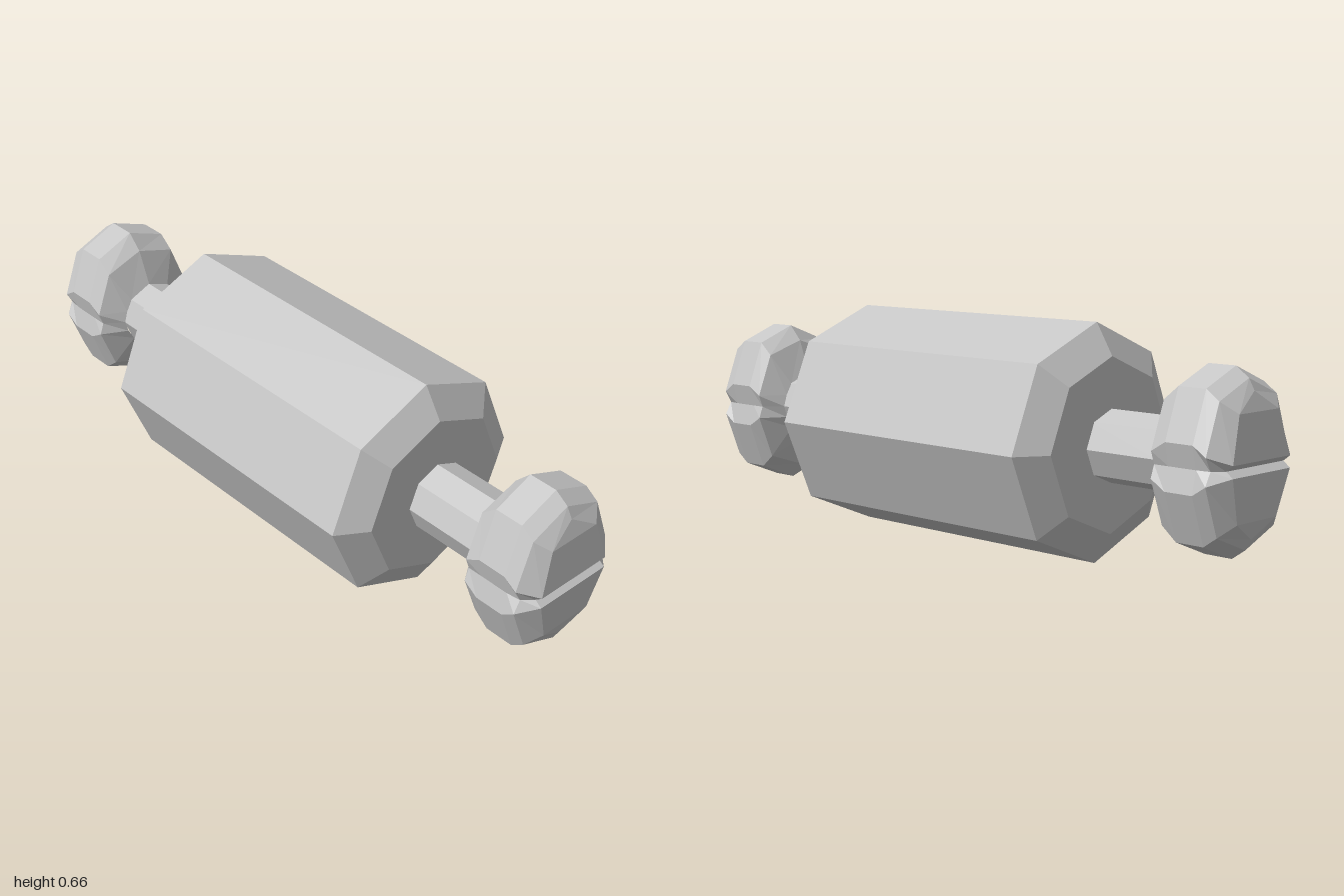
import * as THREE from 'three';

const AXIS_Y = 0.328;

// Pinched double-lobed head: [z, top, xa, ya, xb, yb, pinchX, optional z of corner a, corner b, pinch]
const HEAD_RINGS = [
  [0.745, 0.10, 0.07, 0.07, 0.09, 0.035, 0.10],
  [0.785, 0.20, 0.12, 0.16, 0.168, 0.035, 0.155],
  [0.83, 0.245, 0.12, 0.197, 0.17, 0.062, 0.155],
  [0.915, 0.245, 0.12, 0.197, 0.17, 0.062, 0.155],
  [0.955, 0.217, 0.12, 0.169, 0.17, 0.036, 0.15],
  [0.972, 0.187, 0.082, 0.137, 0.12, 0.016, 0.12, 0.988, 1.0, 0.98],
];

function headGeometry() {
  const pos = [];
  const index = [];
  const n = 12;
  // each quarter outline is mirrored into a closed loop, clockwise from the top
  for (const [z, top, xa, ya, xb, yb, xp, za = z, zb = z, zp = z] of HEAD_RINGS) {
    const right = [[xa, ya, za], [xb, yb, zb], [xp, 0, zp], [xb, -yb, zb], [xa, -ya, za]];
    const left = right.map(([x, y, d]) => [-x, y, d]).reverse();
    for (const p of [[0, top, z], ...right, [0, -top, z], ...left]) pos.push(...p);
  }
  for (let i = 0; i < HEAD_RINGS.length - 1; i++) {
    for (let k = 0; k < n; k++) {
      const a = i * n + k, b = a + n;
      const c = i * n + (k + 1) % n, d = c + n;
      index.push(a, b, c, b, d, c);
    }
  }
  // end face in horizontal strips, with the slot across the middle
  const e = (HEAD_RINGS.length - 1) * n;
  index.push(e, e + 11, e + 1, e + 5, e + 7, e + 6);
  for (let r = 1; r < 5; r++) {
    const l = n - r;
    index.push(e + r, e + l, e + l - 1, e + r, e + l - 1, e + r + 1);
  }
  const g = new THREE.BufferGeometry();
  g.setAttribute('position', new THREE.Float32BufferAttribute(pos, 3));
  g.setIndex(index);
  g.computeVertexNormals();
  return g;
}

export function createModel() {
  const model = new THREE.Group();
  model.name = 'rollingPin';
  const grey = new THREE.MeshStandardMaterial({ color: 0xc6c6c6, flatShading: true });
  grey.name = 'lightGrey';

  const add = (name, geometry, parent) => {
    const mesh = new THREE.Mesh(geometry, grey);
    mesh.name = name;
    parent.add(mesh);
    return mesh;
  };

  // Octagonal barrel with bevelled ends
  const profile = [[0, -0.515], [0.24, -0.515], [0.328, -0.46], [0.328, 0.46], [0.24, 0.515], [0, 0.515]];
  const barrel = new THREE.LatheGeometry(profile.map(([r, h]) => new THREE.Vector2(r, h)), 8);
  barrel.rotateX(Math.PI / 2);
  add('barrel', barrel, model).position.y = AXIS_Y;

  // Rod and head at each end
  const rod = new THREE.CylinderGeometry(0.1, 0.1, 0.25, 8);
  rod.rotateX(Math.PI / 2);
  rod.translate(0, 0, 0.625);
  const head = headGeometry();
  for (const [name, turn] of [['frontHandle', 0], ['backHandle', Math.PI]]) {
    const handle = new THREE.Group();
    handle.name = name;
    handle.position.y = AXIS_Y;
    handle.rotation.y = turn;
    add('rod', rod, handle);
    add('head', head, handle);
    model.add(handle);
  }
  return model;
}
